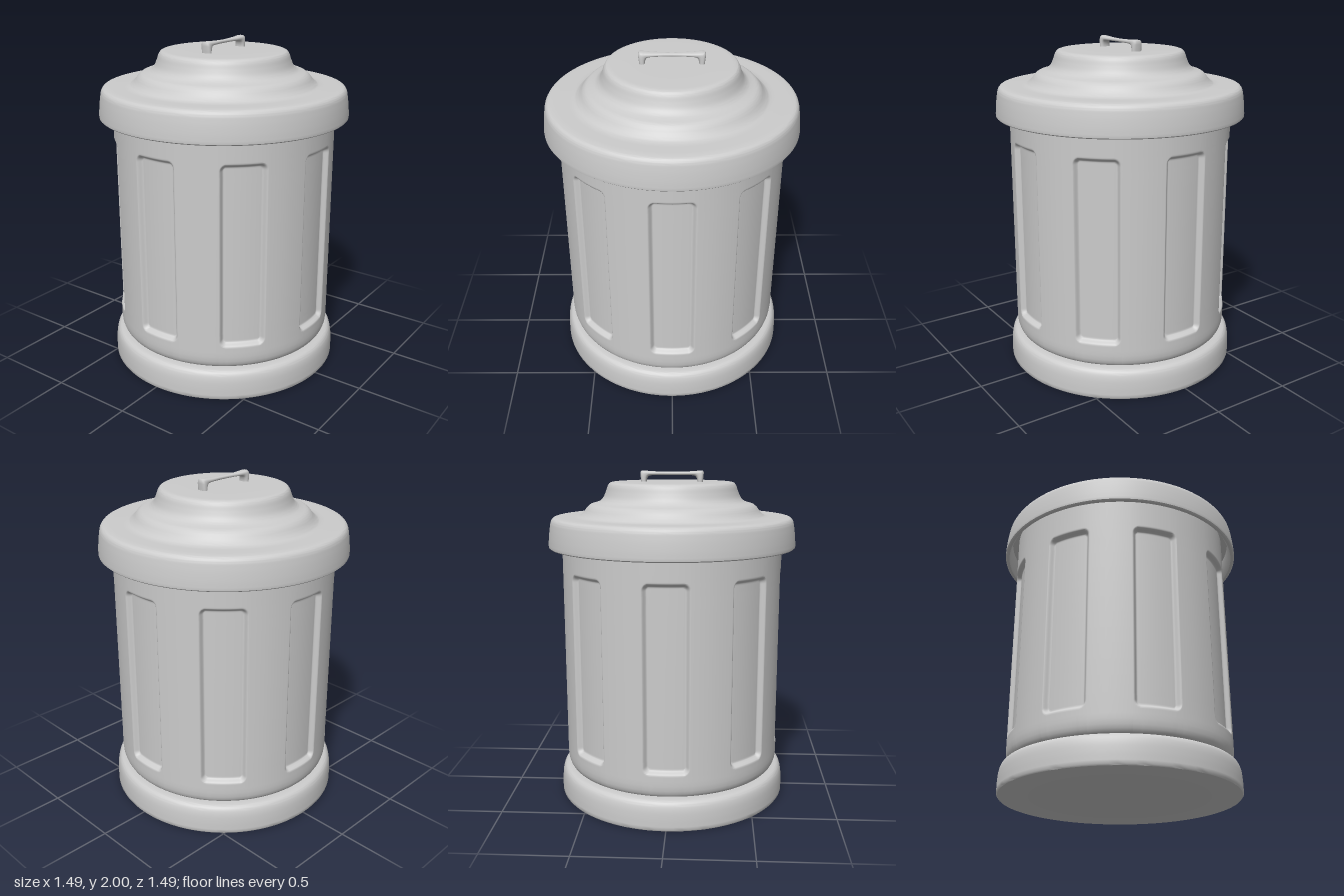
import * as THREE from 'three';
import { toCreasedNormals } from 'three/addons/utils/BufferGeometryUtils.js';

const metal = new THREE.MeshStandardMaterial({ color: 0xcccccc, side: THREE.DoubleSide });

function addMesh(group, name, geometry) {
  const mesh = new THREE.Mesh(geometry, metal);
  mesh.name = name;
  group.add(mesh);
}

// Surface from a function giving the point at (row, column); columns wrap around.
function ringSurface(rows, cols, pointAt) {
  const positions = [], index = [];
  for (let i = 0; i < rows; i++)
    for (let j = 0; j < cols; j++) positions.push(...pointAt(i, j));
  for (let i = 0; i < rows - 1; i++)
    for (let j = 0; j < cols; j++) {
      const k = (j + 1) % cols;
      const a = i * cols + j, b = i * cols + k, c = b + cols, d = a + cols;
      index.push(a, b, c, a, c, d);
    }
  const geo = new THREE.BufferGeometry();
  geo.setAttribute('position', new THREE.Float32BufferAttribute(positions, 3));
  geo.setIndex(index);
  geo.computeVertexNormals();
  return geo;
}

// Evenly spaced values, both ends included
const range = (a, b, n) => Array.from({ length: n + 1 }, (_, i) => a + (b - a) * i / n);

function lathe(points) {
  const geo = new THREE.LatheGeometry(points.map(([r, y]) => new THREE.Vector2(r, y)), 96);
  return toCreasedNormals(geo, 0.7);
}

// Smooth curve through profile points
function smooth(points, n) {
  const curve = new THREE.CatmullRomCurve3(points.map(([x, y]) => new THREE.Vector3(x, y, 0)));
  return curve.getPoints(n).map(p => [p.x, p.y]);
}

// Can wall with eight rounded recessed panels
function bodyGeometry() {
  const half = [0.05, 0.1, 0.14, ...range(0.15, 0.215, 10), 0.25, 0.3, 0.35];
  const sector = [...half.map(a => -a).reverse(), 0, ...half, Math.PI / 8];
  const angles = [];
  for (let k = 0; k < 8; k++) sector.forEach(a => angles.push(a + k * Math.PI / 4));
  const heights = [0.185, 0.19, 0.197, 0.21, 0.23, 0.26, 0.29, ...range(0.315, 0.4, 12),
    ...range(0.5, 1.25, 8), ...range(1.35, 1.435, 12), 1.47, 1.55, 1.68];
  const R = 0.665, depth = 0.03, corner = 0.04;

  return ringSurface(heights.length, angles.length, (i, j) => {
    const y = heights[i], a = angles[j];
    const local = sector[j % sector.length];
    // distance to the rounded rectangle of the panel
    const dx = Math.abs(local) * R - 0.135 + corner;
    const dy = Math.abs(y - 0.875) - 0.55 + corner;
    const dist = Math.hypot(Math.max(dx, 0), Math.max(dy, 0)) + Math.min(Math.max(dx, dy), 0) - corner;
    const recess = depth * THREE.MathUtils.smoothstep(-dist, 0, 0.022);
    // rounded bottom edge
    const t = Math.max(0, (0.26 - y) / 0.075);
    const r = R - 0.035 * (1 - Math.sqrt(Math.max(0, 1 - t * t))) - recess;
    return [r * Math.sin(a), y, r * Math.cos(a)];
  });
}

// Arched grip, pinched thin in the middle
function handleGeometry() {
  // outer x, outer y, inner x, inner y, half width in z
  const side = [
    [-0.185, 1.92, -0.15, 1.92, 0.031],
    [-0.186, 1.945, -0.152, 1.94, 0.031],
    [-0.19, 1.975, -0.148, 1.957, 0.031],
    [-0.19, 1.993, -0.14, 1.967, 0.03],
    [-0.183, 2.0, -0.13, 1.971, 0.029],
    [-0.165, 2.0, -0.115, 1.973, 0.027],
    [-0.11, 1.996, -0.09, 1.974, 0.023],
    [-0.05, 1.994, -0.05, 1.974, 0.017],
  ];
  const mirrored = side.map(([ox, oy, ix, iy, w]) => [-ox, oy, -ix, iy, w]).reverse();
  const stations = [...side, [0, 1.993, 0, 1.974, 0.015], ...mirrored];
  const cols = 20;
  return ringSurface(stations.length, cols, (i, j) => {
    const [ox, oy, ix, iy, w] = stations[i];
    const a = -j / cols * Math.PI * 2;
    const round = v => Math.sign(v) * Math.pow(Math.abs(v), 0.75);
    const c = round(Math.cos(a)) / 2, s = round(Math.sin(a));
    return [(ox + ix) / 2 + (ox - ix) * c, (oy + iy) / 2 + (oy - iy) * c, w * s];
  });
}

export function createModel() {
  const can = new THREE.Group();
  can.name = 'trashCan';

  // Foot ring with closed bottom
  addMesh(can, 'base', lathe([
    [0, 0], [0.69, 0], [0.7, 0.002], [0.706, 0.01],
    ...smooth([[0.706, 0.03], [0.705, 0.08], [0.7, 0.13], [0.69, 0.16], [0.675, 0.175], [0.655, 0.18]], 20),
    [0.62, 0.181], [0.55, 0.181],
  ]));

  addMesh(can, 'body', bodyGeometry());

  // Lid: inner lip, flared skirt, flat shoulder and stepped dome
  const lid = new THREE.Group();
  lid.name = 'lid';
  addMesh(lid, 'lidShell', lathe([
    [0.64, 1.66], [0.705, 1.66], [0.715, 1.56], [0.722, 1.55], [0.738, 1.55], [0.745, 1.556],
    ...smooth([[0.746, 1.565], [0.743, 1.61], [0.735, 1.675], [0.727, 1.71], [0.713, 1.727], [0.69, 1.732]], 24),
    [0.66, 1.733], [0.6, 1.733],
    ...smooth([[0.575, 1.734], [0.555, 1.74], [0.53, 1.762], [0.51, 1.788], [0.49, 1.804], [0.46, 1.813],
      [0.435, 1.823], [0.413, 1.845], [0.397, 1.88], [0.385, 1.913], [0.373, 1.929], [0.358, 1.934]], 44),
    [0.34, 1.935], [0.2, 1.935], [0, 1.935],
  ]));
  addMesh(lid, 'lidHandle', handleGeometry());
  can.add(lid);

  return can;
}
